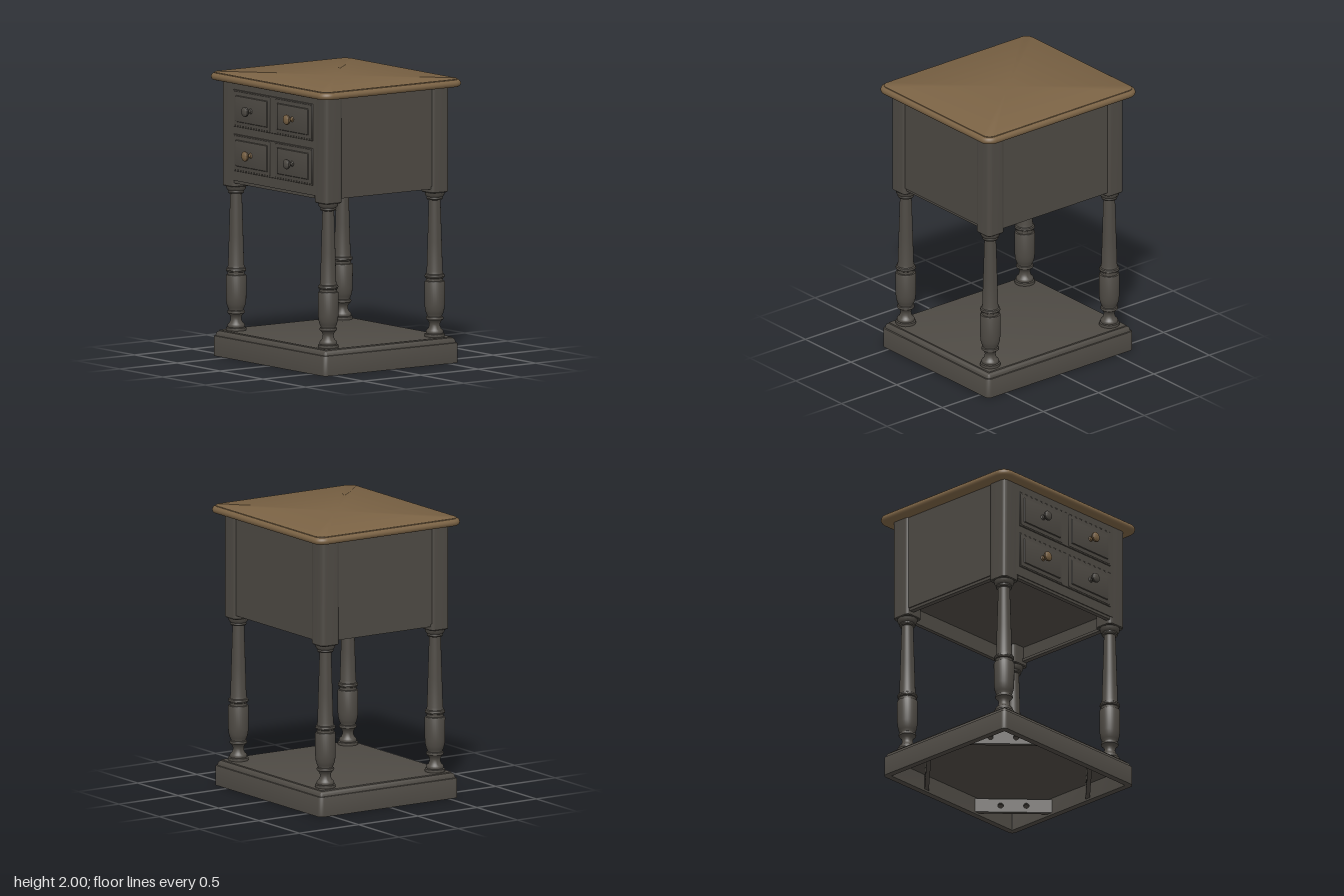
import * as THREE from 'three';
import { toCreasedNormals } from 'three/addons/utils/BufferGeometryUtils.js';

const mat = (name, color) => new THREE.MeshStandardMaterial({ name, color });

// Stack of rounded rectangles; profile = [inset, y] pairs, inset null closes to the centre
function loft(w, d, r, profile, steps = 6) {
  const pos = [], idx = [], n = 4 * (steps + 1);
  for (const [inset, y] of profile) {
    for (let c = 0; c < 4; c++) {
      for (let s = 0; s <= steps; s++) {
        if (inset === null) { pos.push(0, y, 0); continue; }
        const a = (c + s / steps) * Math.PI / 2;
        const rr = Math.max(r - inset, 0.002);
        const sx = c === 0 || c === 3 ? 1 : -1, sz = c < 2 ? -1 : 1;
        pos.push(sx * (w / 2 - inset - rr) + rr * Math.cos(a), y,
          sz * (d / 2 - inset - rr) - rr * Math.sin(a));
      }
    }
  }
  for (let k = 0; k < profile.length - 1; k++) {
    for (let i = 0; i < n; i++) {
      const a = k * n + i, b = k * n + (i + 1) % n;
      if (profile[k][0] !== null) idx.push(a, b, b + n);
      if (profile[k + 1][0] !== null) idx.push(a, b + n, a + n);
      else if (profile[k][0] === null) continue;
    }
  }
  const g = new THREE.BufferGeometry();
  g.setAttribute('position', new THREE.Float32BufferAttribute(pos, 3));
  g.setIndex(idx);
  return toCreasedNormals(g, 0.6);
}

const turned = (pts, seg = 32) => toCreasedNormals(
  new THREE.LatheGeometry(pts.map(([r, y]) => new THREE.Vector2(r, y)), seg), 0.6);

export function createModel() {
  const model = new THREE.Group();
  model.name = 'sideTable';
  const grey = mat('charcoal paint', 0x4e4a44);
  const wood = mat('brown wood', 0x7a6244);
  const add = (name, geo, m, x = 0, y = 0, z = 0, parent = model) => {
    const mesh = new THREE.Mesh(geo, m);
    mesh.name = name;
    mesh.position.set(x, y, z);
    parent.add(mesh);
    return mesh;
  };
  const box = (name, x0, x1, y0, y1, z0, z1) => add(name,
    new THREE.BoxGeometry(x1 - x0, y1 - y0, z1 - z0), grey,
    (x0 + x1) / 2, (y0 + y1) / 2, (z0 + z1) / 2);

  // Table top with a rounded edge and a fine step
  add('tableTop', loft(1.38, 1.23, 0.085, [
    [null, 1.945], [0.018, 1.945], [0.008, 1.949], [0.002, 1.957], [0, 1.967],
    [0.002, 1.977], [0.008, 1.986], [0.016, 1.991], [0.024, 1.993],
    [0.025, 1.998], [0.028, 2], [null, 2],
  ], 10), wood, 0, 0, -0.008);

  // Hollow plinth with moulded upper edge
  add('plinth', loft(1.32, 1.17, 0.035, [
    [null, 0.125], [0.045, 0.125], [0.045, 0], [0, 0], [0, 0.135], [0.003, 0.14],
    [0.012, 0.142], [0.015, 0.155], [0.021, 0.166], [0.03, 0.172],
    [0.036, 0.174], [0.038, 0.181], [0.042, 0.183], [null, 0.183],
  ]), grey, 0, 0, -0.005);

  // Diagonal braces with two bolt holes inside the plinth corners
  const braceShape = new THREE.Shape();
  braceShape.moveTo(-0.27, 0).lineTo(0.27, 0).lineTo(0.27, 0.1).lineTo(-0.27, 0.1).closePath();
  for (const hx of [-0.09, 0.09]) {
    braceShape.holes.push(new THREE.Path().absarc(hx, 0.05, 0.02, 0, Math.PI * 2, true));
  }
  const braceGeo = new THREE.ExtrudeGeometry(braceShape, { depth: 0.03, bevelEnabled: false, curveSegments: 10 });
  for (const sx of [-1, 1]) for (const sz of [-1, 1]) {
    add('cornerBrace', braceGeo, grey, sx * 0.425, 0.015, sz * 0.35 - 0.005)
      .rotation.y = Math.atan2(sx, sz);
  }

  // Turned legs and square corner posts
  const legGeo = turned([
    [0, 0.18], [0.07, 0.18], [0.072, 0.19], [0.07, 0.202], [0.06, 0.206], [0.062, 0.216],
    [0.058, 0.227], [0.047, 0.236], [0.039, 0.255], [0.038, 0.272], [0.043, 0.287],
    [0.053, 0.299], [0.06, 0.304], [0.062, 0.312], [0.059, 0.321], [0.052, 0.325],
    [0.052, 0.33], [0.06, 0.345], [0.067, 0.37], [0.071, 0.405], [0.072, 0.565],
    [0.069, 0.573], [0.06, 0.576], [0.06, 0.594], [0.067, 0.598], [0.071, 0.608],
    [0.068, 0.62], [0.06, 0.625], [0.056, 0.645], [0.05, 0.85], [0.041, 1.145],
    [0.053, 1.148], [0.057, 1.157], [0.054, 1.167], [0.06, 1.171], [0.067, 1.18], [0.07, 1.2],
  ]);
  const postGeo = loft(0.148, 0.15, 0.03, [[null, 1.2], [0.006, 1.2], [0, 1.206], [0, 1.95], [null, 1.95]]);
  for (const sx of [-1, 1]) for (const z of [0.46, -0.465]) {
    add('leg', legGeo, grey, sx * 0.538, 0, z);
    add('cornerPost', postGeo, grey, sx * 0.538, 0, z);
  }

  // Cabinet walls, with a slim rail along the lower edges
  box('frontWall', -0.5, 0.5, 1.25, 1.95, 0.5, 0.535);
  box('frontRail', -0.47, 0.47, 1.23, 1.25, 0.495, 0.528);
  box('backWall', -0.47, 0.47, 1.23, 1.95, -0.53, -0.5);
  for (const sx of [-1, 1]) {
    const [a, b] = [0.565 * sx, 0.6 * sx].sort((p, q) => p - q);
    box('sideWall', a, b, 1.25, 1.95, -0.4, 0.395);
    const [c, d] = [0.555 * sx, 0.592 * sx].sort((p, q) => p - q);
    box('sideRail', c, d, 1.23, 1.25, -0.4, 0.395);
  }
  box('cabinetFloor', -0.57, 0.57, 1.34, 1.36, -0.51, 0.51);

  // Two drawers, each with a pair of raised panels and knobs
  const drawerGeo = loft(0.925, 0.26, 0.003, [[0, 0], [0, 0.005], [0.003, 0.008], [null, 0.008]], 1).rotateX(Math.PI / 2);
  const panelGeo = loft(0.42, 0.238, 0.003, [
    [0, 0], [0.003, 0.003], [0.026, 0.006], [0.03, 0.012], [0.036, 0.014], [null, 0.014],
  ], 1).rotateX(Math.PI / 2);
  const knobGeo = turned([
    [0.02, 0], [0.019, 0.006], [0.012, 0.012], [0.01, 0.022], [0.012, 0.033], [0.022, 0.037],
    [0.032, 0.043], [0.036, 0.052], [0.034, 0.06], [0.026, 0.067], [0.013, 0.071], [0, 0.072],
  ], 28).rotateX(Math.PI / 2);
  [1.763, 1.45].forEach((y, row) => {
    const drawer = new THREE.Group();
    drawer.name = row ? 'lowerDrawer' : 'upperDrawer';
    drawer.position.set(0, y, 0.533);
    model.add(drawer);
    add('drawerFront', drawerGeo, grey, 0, 0, 0, drawer);
    for (const sx of [-1, 1]) {
      add('drawerPanel', panelGeo, grey, sx * 0.241, 0, 0.007, drawer);
      const isWood = (sx > 0) === (row === 0);
      add('knob', knobGeo, isWood ? wood : grey, sx * 0.243, 0, 0.016, drawer);
    }
  });
  return model;
}
